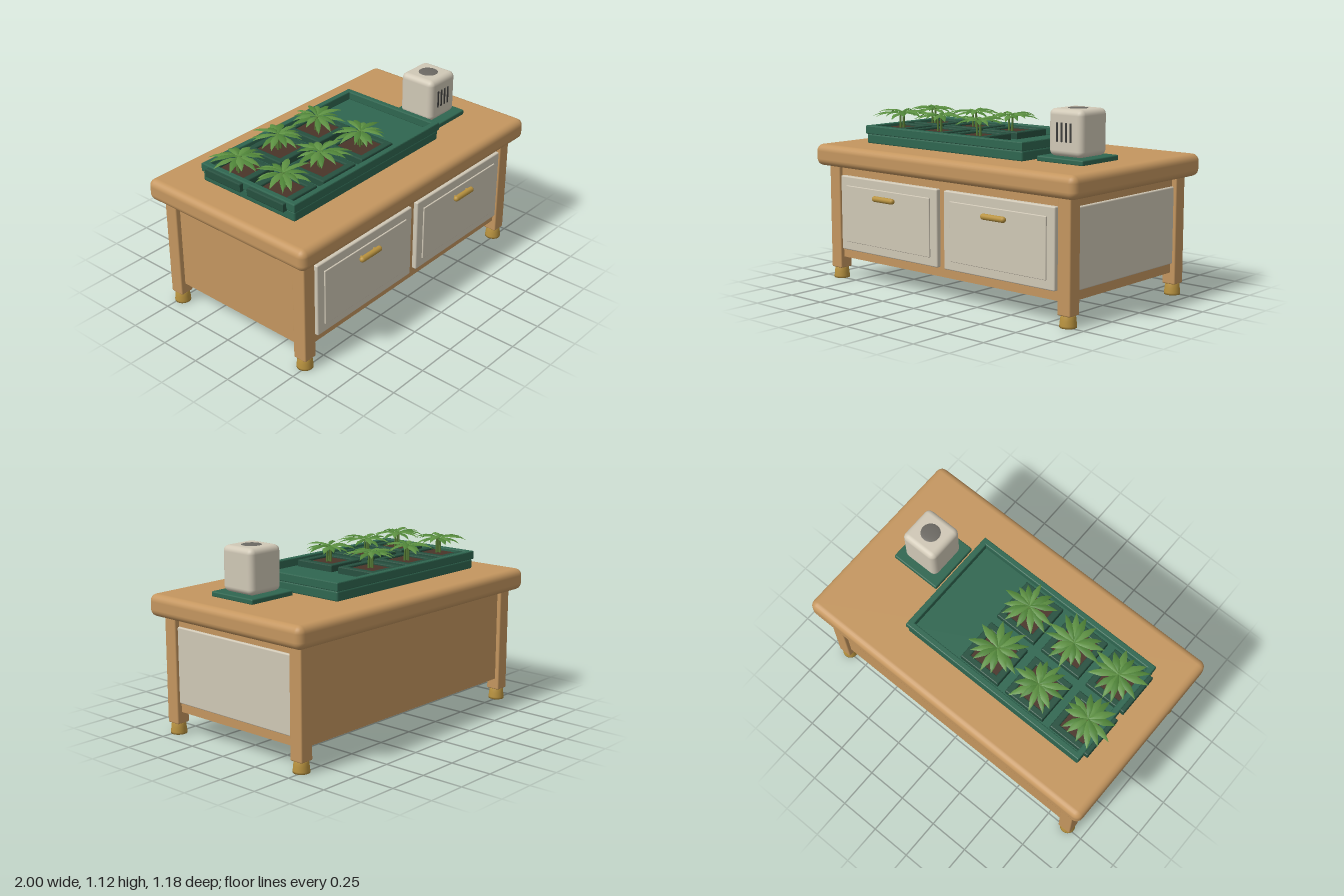
import * as THREE from 'three';
import { RoundedBoxGeometry } from 'three/addons/geometries/RoundedBoxGeometry.js';

const mat = (color, side = THREE.FrontSide) => new THREE.MeshStandardMaterial({ color, side });

export function createModel() {
  const root = new THREE.Group();
  const wood = mat(0xc4965f), cream = mat(0xd0c8b6), brass = mat(0xb8923f);
  const green = mat(0x2f6650), darkGreen = mat(0x26503f), soilMat = mat(0x4a3429), dark = mat(0x3c3c3a);
  const stemMat = mat(0x557a35);
  const leafMats = [mat(0x4f8438, THREE.DoubleSide), mat(0x5d9142, THREE.DoubleSide)];

  const add = (name, geo, material, x, y, z, parent = root) => {
    const m = new THREE.Mesh(geo, material);
    m.name = name;
    m.position.set(x, y, z);
    parent.add(m);
    return m;
  };
  // Rounded box given by its minimum and maximum corners
  const block = (name, material, [x0, y0, z0], [x1, y1, z1], r, parent = root) =>
    add(name, new RoundedBoxGeometry(x1 - x0, y1 - y0, z1 - z0, 3, r), material,
      (x0 + x1) / 2, (y0 + y1) / 2, (z0 + z1) / 2, parent);
  // Rectangular ring lying flat, with its base at y
  const frame = (name, material, w, d, t, h, x, y, z, parent = root) => {
    const rect = (C, a, b) => new C([[-a, -b], [a, -b], [a, b], [-a, b]].map(p => new THREE.Vector2(...p)));
    const s = rect(THREE.Shape, w / 2 - 0.006, d / 2 - 0.006);
    s.holes.push(rect(THREE.Path, w / 2 - t, d / 2 - t));
    const g = new THREE.ExtrudeGeometry(s, {
      depth: h - 0.012, bevelThickness: 0.006, bevelSize: 0.006, bevelSegments: 2,
    }).rotateX(-Math.PI / 2).translate(0, 0.006, 0);
    return add(name, g, material, x, y, z, parent);
  };

  // Table top and cabinet body
  block('tableTop', wood, [-1, 0.695, -0.59], [1, 0.825, 0.59], 0.042);
  add('cabinetBody', new THREE.BoxGeometry(1.8, 0.57, 1.01), wood, 0, 0.42, 0);
  block('sidePanel', cream, [0.88, 0.19, -0.445], [0.915, 0.64, 0.445], 0.008);

  // Legs with brass feet
  const footProfile = [[0, 0], [0.047, 0], [0.047, 0.012], [0.044, 0.04], [0.041, 0.062], [0.037, 0.07], [0, 0.07]]
    .map(p => new THREE.Vector2(...p));
  for (const sx of [-1, 1]) for (const sz of [-1, 1]) {
    const leg = new THREE.Group();
    leg.name = 'leg';
    leg.position.set(sx * 0.888, 0, sz * 0.487);
    root.add(leg);
    block('legPost', wood, [-0.043, 0.065, -0.043], [0.043, 0.71, 0.043], 0.008, leg);
    add('brassFoot', new THREE.LatheGeometry(footProfile, 28), brass, 0, 0, 0, leg);
  }

  // Drawers
  for (const sx of [-1, 1]) {
    const drawer = new THREE.Group();
    drawer.name = 'drawer';
    drawer.position.x = sx * 0.428;
    root.add(drawer);
    block('drawerFront', cream, [-0.402, 0.19, 0.49], [0.402, 0.642, 0.533], 0.008, drawer);
    block('drawerInset', cream, [-0.348, 0.243, 0.51], [0.348, 0.587, 0.541], 0.004, drawer);
    const pull = add('drawerHandle', new THREE.CapsuleGeometry(0.017, 0.142, 6, 16), brass, 0, 0.538, 0.566, drawer);
    pull.rotation.z = Math.PI / 2;
    for (const x of [-0.055, 0.055]) {
      add('handlePost', new THREE.CylinderGeometry(0.007, 0.007, 0.035, 10), brass, x, 0.538, 0.55, drawer)
        .rotation.x = Math.PI / 2;
    }
  }

  // Seed tray
  block('trayBase', green, [-0.795, 0.82, -0.345], [0.445, 0.883, 0.345], 0.012);
  frame('trayRim', green, 1.25, 0.7, 0.03, 0.052, -0.175, 0.88, 0);

  // Folded leaf pointing along +x: a ridge with two lower edges
  const leafGeometry = (len, w) => {
    const rows = [[0, 0.12, 0], [0.3, 0.75, 0.014], [0.55, 1, 0.014], [0.8, 0.55, 0.004], [1, 0, -0.014]];
    const pos = [], idx = [];
    rows.forEach(([u, k, y], i) => {
      for (const s of [-1, 0, 1]) pos.push(u * len, y - Math.abs(s) * 0.008 * k, s * k * w / 2);
      if (i) for (const j of [0, 1]) {
        const a = i * 3 - 3 + j, b = a + 3;
        idx.push(a, a + 1, b, a + 1, b + 1, b);
      }
    });
    const g = new THREE.BufferGeometry();
    g.setAttribute('position', new THREE.Float32BufferAttribute(pos, 3));
    g.setIndex(idx);
    g.computeVertexNormals();
    return g;
  };

  // Pots with seedlings
  let seed = 7;
  const rnd = () => (seed = (seed * 16807) % 2147483647) / 2147483647;
  for (const z of [-0.163, 0.157]) for (const x of [-0.69, -0.37, -0.047]) {
    const pot = new THREE.Group();
    pot.name = 'pottedSeedling';
    pot.position.set(x, 0, z);
    root.add(pot);
    block('potBody', darkGreen, [-0.125, 0.862, -0.125], [0.125, 0.895, 0.125], 0.01, pot);
    frame('potRim', darkGreen, 0.268, 0.268, 0.034, 0.052, 0, 0.872, 0, pot);
    block('soil', soilMat, [-0.1, 0.88, -0.1], [0.1, 0.912, 0.1], 0.008, pot);
    const plant = new THREE.Group();
    plant.name = 'plant';
    plant.position.set((rnd() - 0.5) * 0.03, 0, (rnd() - 0.5) * 0.03);
    pot.add(plant);
    for (let i = 0; i < 3; i++) {
      const a = i * 2.1 + 0.4;
      add('stem', new THREE.CylinderGeometry(0.005, 0.007, 0.1, 8), stemMat,
        Math.cos(a) * 0.013, 0.955, Math.sin(a) * 0.013, plant);
    }
    const turn = rnd() * 6;
    for (let i = 0; i < 14; i++) {
      const leaf = add('leaf', leafGeometry(0.13 + rnd() * 0.055, 0.036 + rnd() * 0.01), leafMats[i % 2],
        0, 0.995 + (i % 3) * 0.006, 0, plant);
      leaf.rotation.set(0, turn + i / 14 * Math.PI * 2 + (rnd() - 0.5) * 0.25, (rnd() - 0.5) * 0.1);
    }
  }

  // Small humidifier on its mat
  const device = new THREE.Group();
  device.name = 'humidifier';
  device.position.set(0.647, 0, 0.11);
  root.add(device);
  block('standPlate', green, [-0.16, 0.822, -0.162], [0.16, 0.854, 0.162], 0.008, device);
  block('humidifierBody', cream, [-0.118, 0.854, -0.118], [0.118, 1.116, 0.118], 0.034, device);
  add('topOutlet', new THREE.SphereGeometry(0.06, 32, 12, 0, Math.PI * 2, 0, Math.PI / 2), mat(0x6b6862),
    0, 1.114, 0, device).scale.y = 0.12;
  for (let i = 0; i < 4; i++) {
    block('ventSlot', dark, [-0.058 + i * 0.031, 0.935, 0.11], [-0.045 + i * 0.031, 1.042, 0.122], 0.003, device);
  }
  return root;
}
